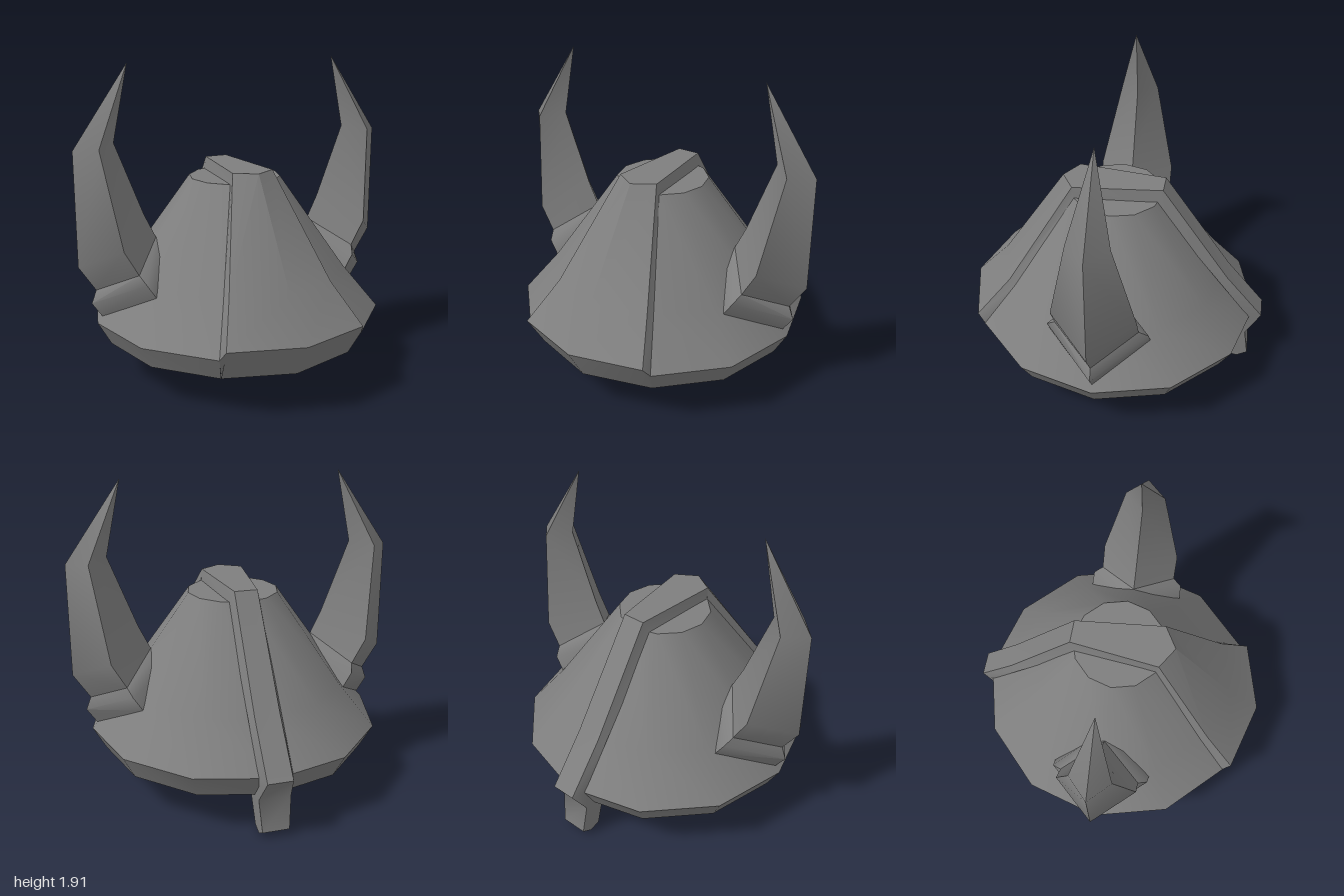
import * as THREE from 'three';
import { toCreasedNormals } from 'three/addons/utils/BufferGeometryUtils.js';

const material = new THREE.MeshStandardMaterial({ color: 0x7e7e7e });

// Closed solid through a list of rings with equal point counts, capped at both ends
function loft(rings) {
  const tris = [];
  const n = rings[0].length;
  for (let i = 0; i < rings.length - 1; i++) {
    for (let j = 0; j < n; j++) {
      const k = (j + 1) % n;
      const a = rings[i][j], b = rings[i][k], c = rings[i + 1][k], d = rings[i + 1][j];
      tris.push([a, b, c], [a, c, d]);
    }
  }
  const first = rings[0], last = rings[rings.length - 1];
  for (let j = 1; j < n - 1; j++) {
    tris.push([first[0], first[j + 1], first[j]], [last[0], last[j], last[j + 1]]);
  }
  // Turn the faces outward whichever way the rings run
  let volume = 0;
  for (const [a, b, c] of tris) {
    volume += new THREE.Vector3(...a).dot(new THREE.Vector3(...b).cross(new THREE.Vector3(...c)));
  }
  const points = tris.flatMap(([a, b, c]) => (volume < 0 ? [a, c, b] : [a, b, c])).flat();
  const geometry = new THREE.BufferGeometry();
  geometry.setAttribute('position', new THREE.Float32BufferAttribute(points, 3));
  return toCreasedNormals(geometry, 0.75);
}

function addPart(parent, name, geometry) {
  const mesh = new THREE.Mesh(geometry, material);
  mesh.name = name;
  parent.add(mesh);
}

// Diamond section leaning outward: centre (x, y), outer corner offset (dx, dy), half depth in z
const diamond = (side) => ([x, y, dx, dy, depth]) => [
  [side * (x + dx), y + dy, 0],
  [side * x, y, depth],
  [side * (x - dx), y - dy, 0],
  [side * x, y, -depth],
];

export function createModel() {
  const model = new THREE.Group();
  model.name = 'hornedHelmet';

  // Thin twelve-sided bowl with a lip, left open at the front for the plate
  const profile = [
    [0, 1.185], [0.265, 1.185], [0.665, 0.63], [0.88, 0.385], [0.75, 0.235],
    [0.82, 0.235], [0.9, 0.38], [0.68, 0.64], [0.28, 1.205], [0, 1.205],
  ].map(([r, y]) => new THREE.Vector2(r, y));
  const bowl = new THREE.LatheGeometry(profile, 10, Math.PI / 6, Math.PI * 5 / 3);
  addPart(model, 'bowl', toCreasedNormals(bowl, 0.56));

  // Raised front plate: half width, y, side z, centre z, foot on the bowl (x, y, z),
  // and the scale and drop of its hollow inside
  const plateRows = [
    [0.41, 0.235, 0.71, 0.83, 0.405, 0.235, 0.7, 0.9, 0],
    [0.43, 0.44, 0.825, 0.945, 0.45, 0.38, 0.778, 0.965, 0.02],
    [0.325, 0.665, 0.63, 0.735, 0.34, 0.635, 0.588, 0.96, 0.015],
    [0.13, 1.275, 0.255, 0.335, 0.14, 1.2, 0.24, 0.92, 0.02],
  ];
  addPart(model, 'frontPlate', loft(plateRows.map(([w, y, z, zc, fx, fy, fz, s, drop]) => [
    [0, y, zc], [w, y, z], [fx, fy, fz], [w * s, y - drop, z * s],
    [0, y - drop, zc * s],
    [-w * s, y - drop, z * s], [-fx, fy, fz], [-w, y, z],
  ])));

  // Band over the crown and down the back, ending in a neck tab
  const bandRows = [
    [0, 1.275, 0.335, 0, 1.19, 0.27],
    [0.13, 1.275, 0.255, 0.14, 1.19, 0.24],
    [0.07, 1.275, -0.285, 0.1, 1.19, -0.24],
    [0.075, 0.665, -0.71, 0.1, 0.635, -0.67],
    [0.075, 0.38, -0.95, 0.1, 0.38, -0.87],
    [0.095, 0.235, -0.86, 0.1, 0.235, -0.72],
    [0.08, 0.04, -0.89, 0.08, 0.015, -0.755],
    [0.08, 0, -0.825, 0.08, 0, -0.82],
  ];
  addPart(model, 'crownBand', loft(bandRows.map(([w, y, z, wi, yi, zi]) => [
    [w, y, z], [wi, yi, zi], [-wi, yi, zi], [-w, y, z],
  ])));

  // Mirrored horns, each in a bevelled collar that passes through the bowl
  const collarRows = [
    [0.63, 0.6, 0.24, -0.18, 0.305],
    [0.685, 0.685, 0.245, -0.175, 0.3],
    [0.71, 0.73, 0.19, -0.14, 0.245],
  ];
  const hornRows = [
    [0.71, 0.73, 0.19, -0.14, 0.245],
    [0.795, 0.88, 0.205, -0.135, 0.245],
    [0.88, 1.445, 0.12, -0.015, 0.12],
    [0.665, 1.91, 0, 0, 0],
  ];
  for (const side of [1, -1]) {
    const label = side > 0 ? 'left' : 'right';
    addPart(model, label + 'HornCollar', loft(collarRows.map(diamond(side))));
    addPart(model, label + 'Horn', loft(hornRows.map(diamond(side))));
  }
  return model;
}
